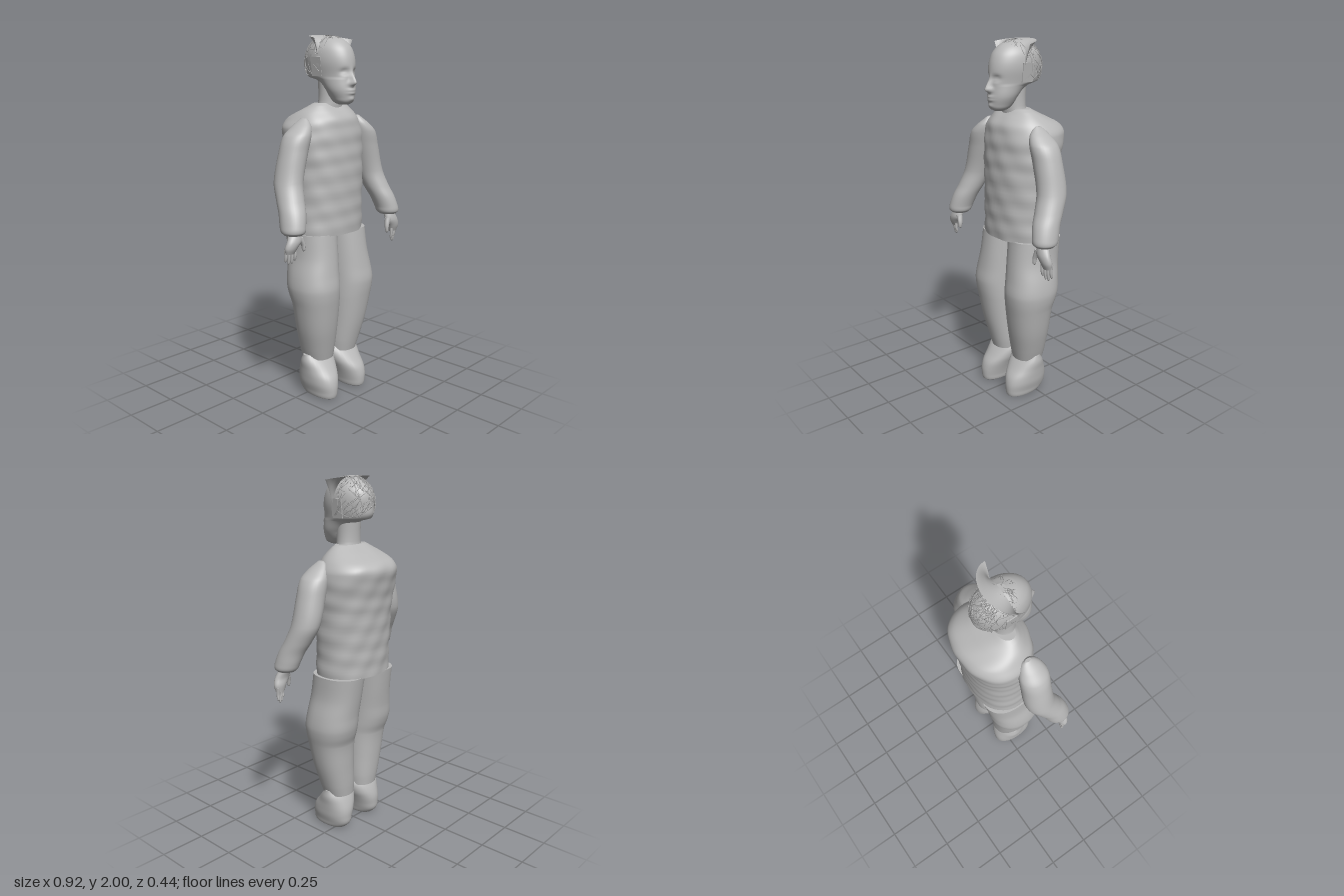
import * as THREE from 'three';
import { mergeGeometries } from 'three/addons/utils/BufferGeometryUtils.js';

const grey = new THREE.MeshStandardMaterial({ color: 0xb8b8b8, side: THREE.DoubleSide });
grey.name = 'plain grey';

// Smooth value of column k at height y between sections i and i + 1
function blend(s, i, k, y) {
  const slope = (j) => {
    const a = s[Math.max(j - 1, 0)], b = s[Math.min(j + 1, s.length - 1)];
    return (b[k] - a[k]) / (b[0] - a[0]);
  };
  const h = s[i + 1][0] - s[i][0], t = (y - s[i][0]) / h;
  const t2 = t * t, t3 = t2 * t;
  return (2 * t3 - 3 * t2 + 1) * s[i][k] + (t3 - 2 * t2 + t) * h * slope(i)
    + (3 * t2 - 2 * t3) * s[i + 1][k] + (t3 - t2) * h * slope(i + 1);
}

// Closed skin over horizontal sections [y, xMin, xMax, zMin, zMax], rising in y
function loft(s, { n = 32, steps = 5, power = 2, shape } = {}) {
  const pos = [], idx = [];
  let rows = 0;
  const ring = (i, y) => {
    const [x0, x1, z0, z1] = [1, 2, 3, 4].map((k) => blend(s, i, k, y));
    for (let j = 0; j < n; j++) {
      const a = (j / n) * Math.PI * 2, c = Math.cos(a), d = Math.sin(a);
      const p = new THREE.Vector3(
        (x0 + x1) / 2 + Math.sign(c) * Math.abs(c) ** (2 / power) * (x1 - x0) / 2, y,
        (z0 + z1) / 2 + Math.sign(d) * Math.abs(d) ** (2 / power) * (z1 - z0) / 2);
      if (shape) shape(p, c, d);
      pos.push(p.x, p.y, p.z);
    }
    rows++;
  };
  for (let i = 0; i < s.length - 1; i++)
    for (let k = 0; k < steps; k++) ring(i, s[i][0] + (s[i + 1][0] - s[i][0]) * k / steps);
  ring(s.length - 2, s[s.length - 1][0]);
  for (let r = 0; r < rows - 1; r++)
    for (let j = 0; j < n; j++) {
      const a = r * n + j, b = r * n + (j + 1) % n;
      idx.push(a, a + n, b, b, a + n, b + n);
    }
  // Caps have their own rims so the hems stay sharp
  for (const top of [false, true]) {
    const sec = s[top ? s.length - 1 : 0], from = (top ? rows - 1 : 0) * n, base = pos.length / 3;
    pos.push((sec[1] + sec[2]) / 2, sec[0], (sec[3] + sec[4]) / 2);
    pos.push(...pos.slice(from * 3, (from + n) * 3));
    for (let j = 0; j < n; j++) {
      const a = base + 1 + j, b = base + 1 + (j + 1) % n;
      idx.push(base, top ? b : a, top ? a : b);
    }
  }
  const g = new THREE.BufferGeometry();
  g.setAttribute('position', new THREE.Float32BufferAttribute(pos, 3));
  g.setIndex(idx);
  g.computeVertexNormals();
  return g;
}

const bump = (v, c, w) => Math.exp(-(((v - c) / w) ** 2));

// Nose, eye sockets, lips and chin pushed out of the face
function faceShape(p, c, d) {
  if (d < 0.2) return;
  const x = Math.abs(p.x), y = p.y;
  const bridge = y > 1.75 ? bump(y, 1.75, 0.045) : bump(y, 1.75, 0.014);
  p.z += 0.034 * bridge * bump(x, 0, 0.011 + 0.006 * bump(y, 1.745, 0.02));
  p.z -= 0.014 * bump(x, 0.036, 0.02) * bump(y, 1.808, 0.014);
  p.z += 0.006 * bump(x, 0.034, 0.012) * bump(y, 1.804, 0.007);
  p.z += 0.009 * bump(x, 0, 0.026) * (bump(y, 1.714, 0.007) + bump(y, 1.698, 0.007));
  p.z += 0.006 * bump(x, 0, 0.02) * bump(y, 1.668, 0.012);
}

// Gentle cloth folds
function folds(p, c, d) {
  const f = 0.0035 * Math.sin(p.y * 48 + p.x * 22) * Math.sin(p.x * 26 - p.y * 17 + p.z * 9);
  p.x += c * f;
  p.z += d * f;
}

// Thin strands crossing over the skull
function hairStrands() {
  let seed = 7;
  const rnd = () => (seed = (seed * 16807) % 2147483647) / 2147483647;
  const list = [];
  while (list.length < 210) {
    const u = rnd() * Math.PI * 2, e = -0.3 + rnd() * 1.75, turn = (rnd() - 0.5) * 1.4, drop = 0.25 + rnd() * 0.4;
    if (Math.sin(u) > 0.1 && e < 0.55) continue;
    const lift = 1.0 + rnd() * 0.04;
    const pts = [0, 0.5, 1].map((t) => {
      const a = u + turn * t, b = Math.max(e - drop * t, Math.sin(u) > 0 ? 0.45 : -0.5);
      return new THREE.Vector3(0.005 + 0.108 * lift * Math.cos(b) * Math.cos(a),
        Math.min(1.86 + 0.138 * lift * Math.sin(b), 1.998), 0.015 + 0.143 * lift * Math.cos(b) * Math.sin(a));
    });
    list.push(new THREE.TubeGeometry(new THREE.CatmullRomCurve3(pts), 6, 0.0018, 3));
  }
  return mergeGeometries(list);
}

// Arched sheet over the crown, flaring outwards at both ends
function crownSheet() {
  const pos = [], idx = [], n = 32;
  for (let i = 0; i <= n; i++) {
    const a = (i / n - 0.5) * Math.PI, c = Math.cos(a), s = Math.sin(a);
    pos.push(0.003 + 0.108 * s, 1.86 + 0.14 * c, 0.045 - 0.025 * c);
    pos.push(0.006 + 0.128 * s, 1.93 + 0.07 * c, 0.048 - 0.065 * c);
    pos.push(0.008 + 0.15 * s, 1.98 + 0.02 * c, 0.05 - 0.11 * c);
    if (i < n) for (const k of [0, 1]) {
      const o = i * 3 + k;
      idx.push(o, o + 3, o + 1, o + 1, o + 3, o + 4);
    }
  }
  const g = new THREE.BufferGeometry();
  g.setAttribute('position', new THREE.Float32BufferAttribute(pos, 3));
  g.setIndex(idx);
  g.computeVertexNormals();
  return g;
}

export function createModel() {
  const model = new THREE.Group();
  model.name = 'standingMan';
  const add = (name, geo) => {
    const m = new THREE.Mesh(geo, grey);
    m.name = name;
    model.add(m);
    return m;
  };
  // Mirror sections to one side, with a small sideways shift
  const sided = (s, side, dx = 0) => s.map(([y, a, b, z0, z1]) =>
    side > 0 ? [y, a + dx, b + dx, z0, z1] : [y, -b + dx, -a + dx, z0, z1]);

  add('torso', loft([
    [0.94, -0.22, 0.23, -0.17, 0.165], [1.1, -0.217, 0.23, -0.177, 0.165], [1.3, -0.22, 0.235, -0.19, 0.165],
    [1.42, -0.23, 0.24, -0.205, 0.16], [1.51, -0.23, 0.24, -0.221, 0.153], [1.56, -0.205, 0.21, -0.2, 0.142],
    [1.6, -0.17, 0.175, -0.12, 0.115], [1.63, -0.13, 0.135, -0.055, 0.085], [1.645, -0.1, 0.105, -0.03, 0.07],
  ], { n: 64, steps: 9, power: 2.2, shape: folds }));

  add('neck', loft([
    [1.6, -0.085, 0.085, -0.04, 0.09], [1.66, -0.07, 0.07, -0.028, 0.095], [1.8, -0.07, 0.07, -0.035, 0.1],
  ]));
  add('head', loft([
    [1.638, -0.022, 0.024, 0.1, 0.155], [1.65, -0.045, 0.047, 0.075, 0.178], [1.675, -0.06, 0.063, 0.045, 0.186],
    [1.715, -0.076, 0.08, 0.02, 0.188], [1.765, -0.085, 0.09, -0.04, 0.184], [1.785, -0.09, 0.097, -0.112, 0.184],
    [1.85, -0.1, 0.108, -0.124, 0.183], [1.9, -0.098, 0.107, -0.122, 0.172], [1.94, -0.085, 0.095, -0.103, 0.15],
    [1.975, -0.056, 0.066, -0.062, 0.107], [1.993, -0.02, 0.03, -0.015, 0.05],
  ], { n: 96, steps: 7, shape: faceShape }));
  add('hair', hairStrands());
  add('crownSheet', crownSheet());

  for (const side of [1, -1]) {
    const label = side > 0 ? 'left' : 'right';

    // Flat panel in front of each ear
    const panel = add(label + 'SidePanel', new THREE.BoxGeometry(0.006, 0.1, 0.07));
    panel.position.set(0.005 + side * 0.1, 1.835, 0.02);
    panel.rotation.z = -side * 0.12;

    add(label + 'Arm', loft(sided([
      [0.995, 0.34, 0.435, 0.085, 0.185], [1.01, 0.325, 0.448, 0.068, 0.2], [1.04, 0.318, 0.446, 0.055, 0.199],
      [1.1, 0.298, 0.434, 0.033, 0.182], [1.16, 0.277, 0.42, 0, 0.153], [1.25, 0.252, 0.4, -0.04, 0.122],
      [1.4, 0.21, 0.362, -0.042, 0.116], [1.48, 0.19, 0.33, -0.038, 0.117], [1.525, 0.183, 0.28, -0.02, 0.1],
      [1.555, 0.187, 0.24, 0, 0.075], [1.572, 0.2, 0.218, 0.02, 0.055],
    ], side)));

    // Hand, with the left one hanging slightly lower
    const lift = side > 0 ? 0 : 0.028;
    const hand = (s) => sided(s.map(([y, ...r]) => [y + lift * (1.01 - y) / 0.19, ...r]), side);
    add(label + 'Palm', loft(hand([
      [0.885, 0.395, 0.452, 0.13, 0.165], [0.92, 0.378, 0.458, 0.126, 0.178],
      [0.96, 0.352, 0.445, 0.128, 0.182], [1.01, 0.355, 0.415, 0.11, 0.17],
    ]), { n: 20 }));
    for (let i = 0; i < 4; i++) {
      const x = 0.398 + i * 0.016, z = 0.165 - i * 0.006, end = [0.84, 0.824, 0.82, 0.835][i];
      add(label + 'Finger' + (i + 1), loft(hand([
        [end, x - 0.002, x + 0.002, z - 0.012, z - 0.008], [end + 0.008, x - 0.007, x + 0.007, z - 0.018, z - 0.003],
        [0.87, x - 0.008, x + 0.008, z - 0.014, z + 0.003], [0.91, x - 0.009, x + 0.009, z - 0.018, z + 0.002],
      ]), { n: 8, steps: 3 }));
    }
    add(label + 'Thumb', loft(hand([
      [0.887, 0.342, 0.347, 0.163, 0.168], [0.895, 0.336, 0.352, 0.158, 0.176],
      [0.93, 0.334, 0.358, 0.15, 0.178], [0.975, 0.345, 0.385, 0.14, 0.175],
    ]), { n: 10, steps: 3 }));

    add(label + 'TrouserLeg', loft(sided([
      [0.215, 0.015, 0.18, -0.068, 0.105], [0.28, 0.01, 0.2, -0.074, 0.12], [0.4, 0.01, 0.232, -0.08, 0.146],
      [0.54, 0.008, 0.258, -0.09, 0.168], [0.6, 0.007, 0.27, -0.11, 0.176], [0.65, 0.007, 0.274, -0.122, 0.178],
      [0.72, 0.005, 0.265, -0.128, 0.168], [0.82, 0.002, 0.244, -0.142, 0.155], [0.945, -0.003, 0.238, -0.16, 0.14],
    ], side, 0.01), { n: 40, power: 2.25 }));

    add(label + 'Shoe', loft(sided([
      [0, 0.07, 0.165, -0.03, 0.165], [0.008, 0.06, 0.178, -0.045, 0.175], [0.04, 0.052, 0.186, -0.074, 0.18],
      [0.08, 0.04, 0.196, -0.08, 0.178], [0.12, 0.025, 0.2, -0.08, 0.165], [0.16, 0.008, 0.203, -0.07, 0.135],
      [0.205, -0.002, 0.207, -0.05, 0.098], [0.245, 0.003, 0.2, -0.022, 0.06],
    ], side, 0.005), { power: 2.2 }));
  }
  return model;
}
